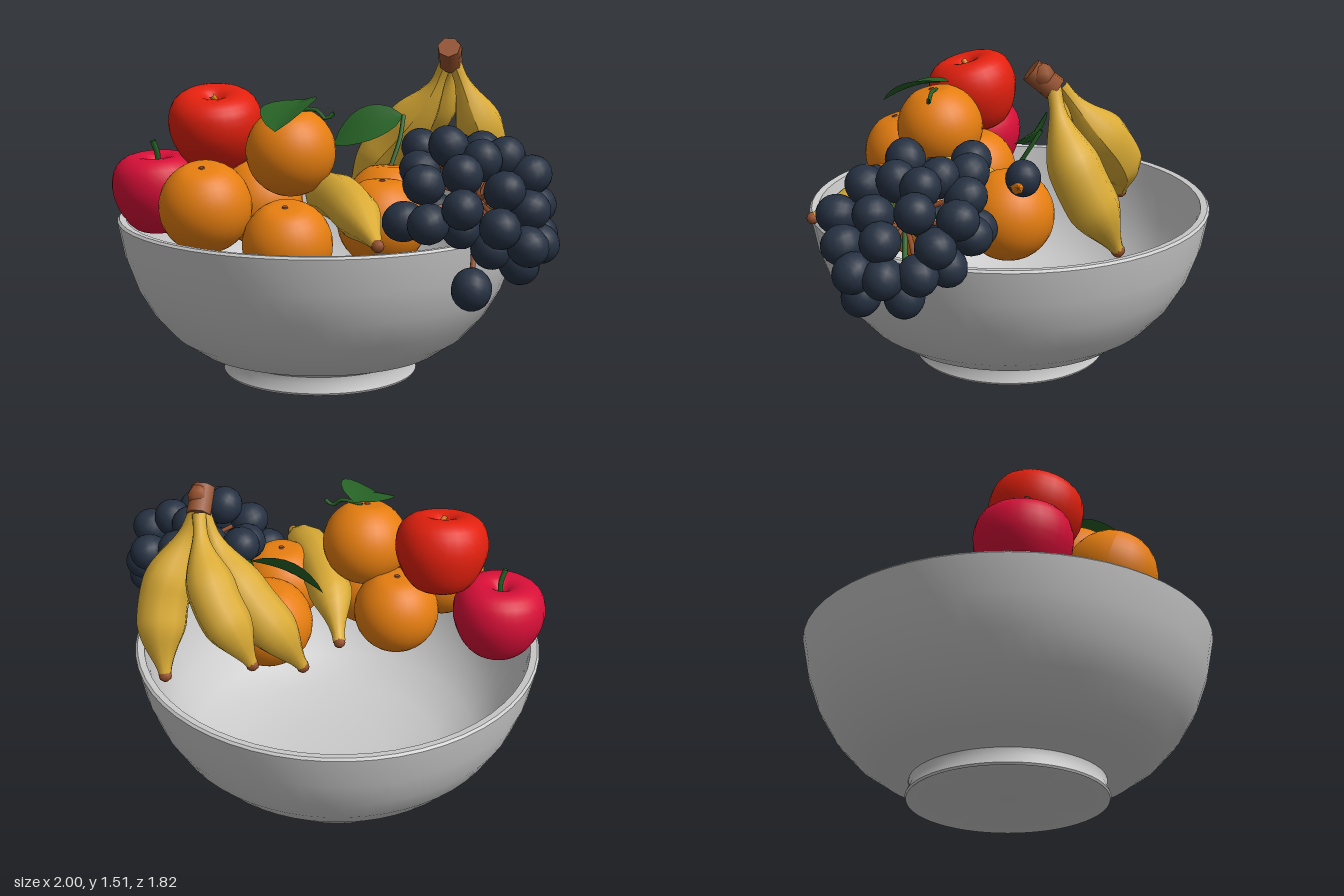
import * as THREE from 'three';
import { toCreasedNormals } from 'three/addons/utils/BufferGeometryUtils.js';

const mat = (name, color, side = THREE.FrontSide) => {
  const m = new THREE.MeshStandardMaterial({ color, side });
  m.name = name;
  return m;
};
const V = (p) => new THREE.Vector3(...p);

export function createModel() {
  const root = new THREE.Group();
  root.name = 'fruitBowl';
  const grey = mat('bowl grey', 0xcbcbcb);
  const orangeM = mat('orange peel', 0xe67e10);
  const red = mat('apple red', 0xe2200e);
  const crimson = mat('apple crimson', 0xd80f38);
  const yellow = mat('banana yellow', 0xdbac36);
  const brown = mat('stem brown', 0x94502c);
  const green = mat('leaf green', 0x276326, THREE.DoubleSide);
  const navy = mat('grape navy', 0x263142);

  const add = (name, geo, material, pos = [0, 0, 0], parent = root) => {
    const m = new THREE.Mesh(geo, material);
    m.name = name;
    m.position.set(...pos);
    parent.add(m);
    return m;
  };
  const tube = (name, pts, r, material, parent = root) =>
    add(name, new THREE.TubeGeometry(new THREE.CatmullRomCurve3(pts.map(V)), 8, r, 6), material, [0, 0, 0], parent);
  const lathe = (pts, seg) => new THREE.LatheGeometry(pts.map((p) => new THREE.Vector2(...p)), seg);

  // Bowl: foot, outer wall, rolled rim, inner wall
  const outer = [[0.455, 0.095], [0.57, 0.13], [0.67, 0.2], [0.76, 0.3], [0.83, 0.42], [0.88, 0.56], [0.91, 0.715]];
  const inner = [[0.9, 0.725], [0.87, 0.722], [0.85, 0.62], [0.82, 0.48], [0.75, 0.34], [0.64, 0.22], [0.47, 0.14], [0.24, 0.11], [0, 0.105]];
  const bowl = lathe([[0, 0.008], [0.425, 0.008], [0.437, 0], [0.442, 0.01], [0.425, 0.05], [0.428, 0.08], ...outer, ...inner], 56);
  add('bowl', toCreasedNormals(bowl, 0.7), grey, [-0.085, 0, 0]);

  // Oranges: spheres with a dimple at the stalk
  const orangeGeo = new THREE.SphereGeometry(1, 28, 20);
  const op = orangeGeo.attributes.position;
  for (let i = 0; i < op.count; i++) {
    const y = op.getY(i);
    if (y > 0.9) op.setY(i, y - (y - 0.9) * 0.85);
    else if (y < -0.95) op.setY(i, -0.95);
  }
  orangeGeo.computeVertexNormals();
  [
    [-0.5, 0.835, 0.485, 0.2, 0.3], [-0.16, 1.055, 0.315, 0.195, 0.2], [-0.135, 0.695, 0.545, 0.192, 0.3],
    [-0.33, 0.8, 0.16, 0.193, 0], [0.235, 0.765, 0.01, 0.203, -0.1], [0.245, 0.77, 0.375, 0.193, 0],
  ].forEach(([x, y, z, r, tilt]) => {
    const g = new THREE.Group();
    g.name = 'orange';
    g.position.set(x, y, z);
    g.rotation.x = tilt;
    root.add(g);
    add('orangePeel', orangeGeo, orangeM, [0, 0, 0], g).scale.setScalar(r);
    add('orangeStalk', new THREE.CylinderGeometry(0.012, 0.016, 0.012, 5), brown, [0, r * 0.915, 0], g);
  });

  // Apples: lathed profile, hollow at both ends
  const appleCurve = new THREE.SplineCurve([
    [0, -0.13], [0.05, -0.165], [0.11, -0.16], [0.17, -0.09], [0.207, 0.02],
    [0.19, 0.12], [0.13, 0.17], [0.06, 0.165], [0.02, 0.13], [0, 0.12],
  ].map((p) => new THREE.Vector2(...p)));
  const apple = (material, pos, rx, rz, stalk) => {
    const g = new THREE.Group();
    g.name = 'apple';
    g.position.set(...pos);
    g.rotation.set(rx, 0, rz);
    root.add(g);
    const pts = appleCurve.getPoints(26).map((p) => new THREE.Vector2(Math.max(0, p.x), p.y));
    add('appleSkin', new THREE.LatheGeometry(pts, 28), material, [0, 0, 0], g);
    tube('appleStalk', [[0, 0.11, 0], [0.005, 0.11 + stalk * 0.5, 0], [-0.01, 0.11 + stalk, 0.01]],
      0.013, stalk > 0.1 ? green : orangeM, g);
  };
  apple(crimson, [-0.795, 0.825, 0.14], 0.05, 0.03, 0.13);
  apple(red, [-0.525, 1.12, 0.16], 0.25, -0.03, 0.055);

  // Bananas: tubes whose rings are scaled by a taper along the length
  const banana = (name, pts, r, neck) => {
    const N = 24, S = 10;
    const curve = new THREE.CatmullRomCurve3(pts.map(V));
    const geo = new THREE.TubeGeometry(curve, N, r, S);
    const p = geo.attributes.position, v = new THREE.Vector3();
    const smooth = THREE.MathUtils.smoothstep;
    for (let i = 0; i <= N; i++) {
      const t = i / N, c = curve.getPointAt(t);
      const k = (0.28 + 0.72 * smooth(t, neck * 0.35, neck + 0.22)) * (1 - 0.78 * smooth(t, 0.68, 1.03));
      for (let j = 0; j <= S; j++) {
        const n = i * (S + 1) + j;
        v.fromBufferAttribute(p, n).sub(c).multiplyScalar(k).add(c);
        p.setXYZ(n, v.x, v.y, v.z);
      }
    }
    geo.computeVertexNormals();
    add(name, geo, yellow);
    add(name + 'Tip', new THREE.SphereGeometry(r * 0.27, 8, 6), brown, pts[pts.length - 1]);
  };
  banana('leftBanana', [[0.5, 1.41, -0.17], [0.56, 1.25, -0.2], [0.625, 1.06, -0.27], [0.63, 0.88, -0.36], [0.6, 0.73, -0.44]], 0.112, 0.25);
  banana('backBanana', [[0.48, 1.41, -0.2], [0.44, 1.26, -0.31], [0.36, 1.11, -0.42], [0.27, 0.98, -0.47], [0.2, 0.86, -0.48]], 0.108, 0.25);
  banana('rightBanana', [[0.47, 1.41, -0.17], [0.4, 1.25, -0.21], [0.27, 1.08, -0.28], [0.13, 0.92, -0.31], [0.02, 0.74, -0.28]], 0.11, 0.25);
  banana('looseBanana', [[-0.1, 0.72, -0.03], [-0.04, 0.83, 0.14], [0.07, 0.87, 0.4], [0.19, 0.83, 0.65], [0.285, 0.77, 0.86]], 0.1, 0.05);
  add('looseBananaEnd', new THREE.SphereGeometry(0.028, 8, 6), brown, [-0.1, 0.72, -0.03]);

  // Shared crown of the banana bunch
  const crown = add('bananaCrown', new THREE.CylinderGeometry(0.052, 0.055, 0.13, 7), brown, [0.485, 1.435, -0.13]);
  crown.rotation.x = 0.9;
  add('bananaCrownKnob', new THREE.SphereGeometry(0.052, 7, 5), brown, [0.495, 1.455, -0.125]);

  // Leaves: folded plates along base-to-tip
  const leaf = (name, base, tip, normal, width) => {
    const a = V(base), along = V(tip).sub(a);
    const n = V(normal).normalize();
    const side = new THREE.Vector3().crossVectors(along, n).normalize();
    const geo = new THREE.PlaneGeometry(1, 1, 8, 4), p = geo.attributes.position;
    for (let i = 0; i < p.count; i++) {
      const t = p.getX(i) + 0.5, s = p.getY(i) * 2;
      const w = Math.pow(Math.sin(Math.PI * Math.pow(t, 0.85)), 0.75) || 0;
      const v = a.clone().addScaledVector(along, t).addScaledVector(side, s * w * width / 2)
        .addScaledVector(n, Math.sin(Math.PI * t) * 0.025 + Math.abs(s) * w * 0.022);
      p.setXYZ(i, v.x, v.y, v.z);
    }
    geo.computeVertexNormals();
    add(name, geo, green);
  };
  leaf('orangeLeafFront', [-0.11, 1.275, 0.27], [-0.18, 1.175, 0.57], [-0.25, 1, 0.3], 0.25);
  leaf('orangeLeafBack', [0.28, 1.16, -0.13], [-0.04, 1.02, -0.11], [-0.25, 0.65, 0.7], 0.2);
  tube('leafStalkFront', [[-0.14, 1.235, 0.33], [-0.04, 1.24, 0.35], [0.0, 1.205, 0.36], [0.035, 1.23, 0.36]], 0.009, green);
  tube('leafStalkBack', [[0.235, 0.94, 0.0], [0.27, 1.06, -0.07], [0.28, 1.16, -0.13]], 0.01, green);

  // Grapes: slightly oval berries packed around a stalk
  const heart = [0.65, 0.88, 0.44];
  const grapes = [
    [0.39, 1.06, 0.17], [0.54, 1.05, 0.18], [0.7, 1.0, 0.19], [0.84, 0.95, 0.22], [0.4, 0.99, 0.33],
    [0.53, 1.11, 0.44], [0.66, 1.07, 0.3], [0.67, 1.06, 0.47], [0.76, 1.06, 0.37], [0.87, 0.99, 0.39],
    [0.36, 0.82, 0.6], [0.44, 0.97, 0.57], [0.6, 1.02, 0.6], [0.77, 0.95, 0.56], [0.87, 0.87, 0.53],
    [0.47, 0.83, 0.69], [0.61, 0.9, 0.72], [0.76, 0.82, 0.69], [0.87, 0.74, 0.64], [0.91, 0.73, 0.52],
    [0.72, 0.72, 0.6], [0.83, 0.62, 0.44], [0.645, 0.55, 0.63], [0.8, 0.74, 0.27], [0.89, 0.85, 0.31],
    [0.6, 0.83, 0.15], [0.74, 0.85, 0.17], [0.46, 0.82, 0.36], [0.6, 0.8, 0.6], [0.9, 0.74, 0.38],
  ];
  const berry = new THREE.SphereGeometry(0.085, 16, 12);
  const up = new THREE.Vector3(0, 1, 0);
  grapes.forEach((g, i) => {
    const dir = V(g).sub(V(heart));
    const b = add('grape', berry, navy, g);
    b.quaternion.setFromUnitVectors(up, dir.clone().normalize());
    b.scale.set(1, 1.07, 1);
    const mid = V(heart).addScaledVector(dir, 0.5).add(new THREE.Vector3(0, 0.02, 0));
    tube('grapeTwig', [heart, mid.toArray(), g], 0.011, i % 3 ? brown : green);
  });
  tube('grapeStalk', [[0.5, 1.0, 0.25], [0.6, 0.95, 0.36], [0.68, 0.85, 0.48], [0.76, 0.74, 0.52]], 0.024, brown);

  // Single grape with its stalk end, resting on the back orange
  add('looseGrape', berry, navy, [0.39, 0.98, -0.05]).scale.set(0.9, 0.95, 0.9);
  const nub = add('looseGrapeEnd', new THREE.ConeGeometry(0.04, 0.07, 6), orangeM, [0.465, 0.965, -0.03]);
  nub.rotation.z = -1.4;

  return root;
}
